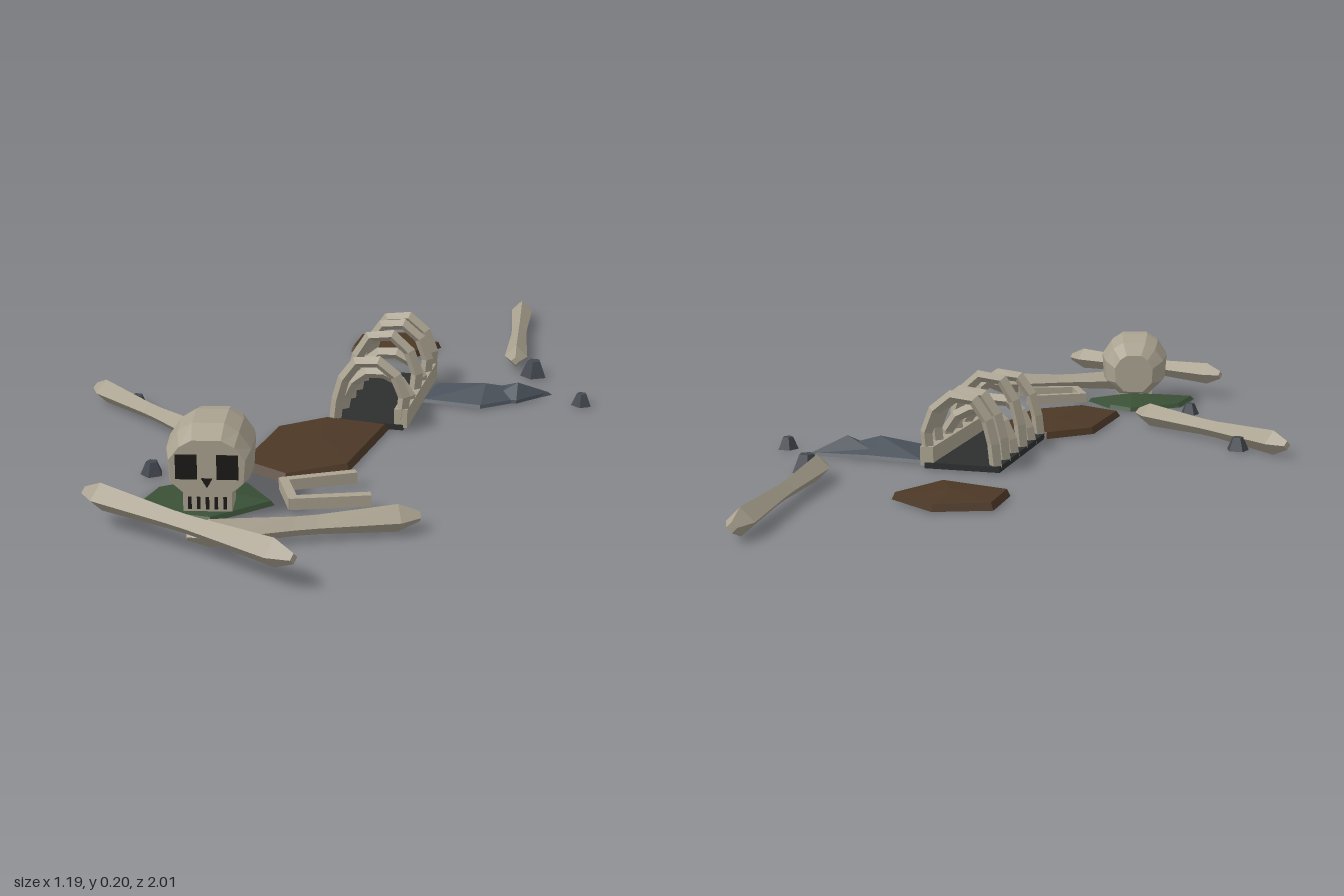
import * as THREE from 'three';

const flat = (hex, name) => {
  const m = new THREE.MeshStandardMaterial({ color: hex, flatShading: true, side: THREE.DoubleSide });
  m.name = name;
  return m;
};
const mat = {
  bone: flat(0xaaa290, 'bone'),
  brown: flat(0x4c3826, 'brown cloth'),
  charcoal: flat(0x2d2e2f, 'charcoal cloth'),
  green: flat(0x3a5036, 'green cloth'),
  slate: flat(0x4b525b, 'slate cloth'),
  stone: flat(0x444850, 'stone'),
  black: flat(0x1b1a19, 'black hollow'),
};

function add(parent, name, geometry, material, x = 0, y = 0, z = 0) {
  const mesh = new THREE.Mesh(geometry, material);
  mesh.name = name;
  mesh.position.set(x, y, z);
  parent.add(mesh);
  return mesh;
}
const box = (w, h, d) => new THREE.BoxGeometry(w, h, d);

// Skin a list of equal-sized rings and close both ends with fans
function loft(rings) {
  const n = rings[0].length, pos = rings.flat(2), idx = [];
  for (let r = 0; r < rings.length - 1; r++) {
    for (let i = 0; i < n; i++) {
      const a = r * n + i, b = r * n + (i + 1) % n;
      idx.push(a, b, b + n, a, b + n, a + n);
    }
  }
  const last = (rings.length - 1) * n;
  for (let i = 1; i < n - 1; i++) {
    idx.push(0, i + 1, i, last, last + i, last + i + 1);
  }
  const g = new THREE.BufferGeometry();
  g.setAttribute('position', new THREE.Float32BufferAttribute(pos, 3));
  g.setIndex(idx);
  g.computeVertexNormals();
  return g;
}

// Flat scrap of cloth: outline (x, z), thin rim and a raised middle point
function cloth(outline, edgeY, [cx, cy, cz]) {
  const area = outline.reduce((s, [x, z], i) => {
    const [x2, z2] = outline[(i + 1) % outline.length];
    return s + x * z2 - x2 * z;
  }, 0);
  const pts = area > 0 ? [...outline].reverse() : outline;
  return loft([
    pts.map(([x, z]) => [x, 0.012, z]),
    pts.map(([x, z]) => [x + (cx - x) * 0.06, edgeY, z + (cz - z) * 0.06]),
    pts.map(() => [cx, cy, cz]),
  ]);
}

// Long four-sided bone with swollen ends, laid from one point to another
function longBone(parent, [ax, az], [bx, bz], y) {
  const half = Math.hypot(bx - ax, bz - az) / 2;
  const profile = [[0, -half], [0.011, -half], [0.03, -half + 0.045], [0.021, -half * 0.1],
    [0.021, half * 0.1], [0.03, half - 0.045], [0.011, half], [0, half]];
  const g = new THREE.LatheGeometry(profile.map(p => new THREE.Vector2(...p)), 4);
  g.rotateX(Math.PI / 2);
  add(parent, 'longBone', g, mat.bone, (ax + bx) / 2, y, (az + bz) / 2)
    .rotation.y = Math.atan2(bx - ax, bz - az);
}

function buildSkull() {
  const skull = new THREE.Group();
  skull.name = 'skull';
  // Half outline of the cranium: share of width, share of height
  const half = [[0.5, 0], [0.95, 0.25], [1, 0.65], [0.72, 0.88], [0.38, 1]];
  const outline = [...half, ...half.map(([x, y]) => [-x, y]).reverse()];
  const sections = [
    // z, half width, bottom, top
    [-0.11, 0.052, 0.065, 0.165], [-0.075, 0.08, 0.055, 0.196], [-0.01, 0.09, 0.05, 0.212],
    [0.065, 0.087, 0.05, 0.208], [0.103, 0.078, 0.062, 0.183],
  ];
  add(skull, 'cranium', loft(sections.map(([z, w, lo, hi]) =>
    outline.map(([x, y]) => [x * w, lo + y * (hi - lo), z]))), mat.bone);
  add(skull, 'upperJaw', box(0.1, 0.055, 0.07), mat.bone, 0, 0.058, 0.068);
  for (const s of [-1, 1]) {
    add(skull, 'eyeSocket', box(0.044, 0.052, 0.008), mat.black, s * 0.042, 0.127, 0.103);
  }
  const nose = add(skull, 'noseHole', new THREE.CylinderGeometry(0.013, 0.013, 0.008, 3), mat.black, 0, 0.096, 0.104);
  nose.rotation.x = Math.PI / 2;
  for (let i = -2; i <= 2; i++) {
    add(skull, 'toothGap', box(0.007, 0.026, 0.006), mat.black, i * 0.018, 0.049, 0.103);
  }
  skull.position.set(-0.04, 0, 0.643);
  skull.rotation.y = 0.3;
  return skull;
}

function buildTorso() {
  const torso = new THREE.Group();
  torso.name = 'torso';
  add(torso, 'torsoCloth', box(0.182, 0.014, 0.4), mat.charcoal, 0, 0.019, 0);
  add(torso, 'spine', box(0.032, 0.045, 0.4), mat.bone, 0.085, 0.041, 0);
  // Ribs arch from the spine to the far edge; two are lower
  const arch = [[0.085, 0.2], [0.09, 0.5], [0.05, 0.88], [-0.015, 0.94], [-0.062, 0.62], [-0.078, 0.1]];
  const ribs = [[-0.185, 0.195], [-0.115, 0.195], [-0.04, 0.135], [0.03, 0.208], [0.11, 0.13], [0.186, 0.185]];
  for (const [z, h] of ribs) {
    const path = new THREE.CatmullRomCurve3(arch.map(([x, y]) => new THREE.Vector3(x, y * h, z)));
    add(torso, 'rib', new THREE.TubeGeometry(path, 7, 0.015, 4), mat.bone);
  }
  torso.position.set(0.092, 0, -0.095);
  torso.rotation.y = 0.105;
  return torso;
}

export function createModel() {
  const model = new THREE.Group();
  model.name = 'scatteredSkeleton';

  model.add(buildSkull(), buildTorso());

  // Loose limb bones
  longBone(model, [0.235, -1], [0.345, -0.45], 0.04);
  longBone(model, [-0.595, 0.12], [-0.135, 0.39], 0.04);
  longBone(model, [0.01, 0.885], [0.41, 0.64], 0.04);
  longBone(model, [-0.24, 0.83], [0.275, 0.99], 0.076);

  // Detached U-shaped lower jaw
  const jaw = [[0.21, 0.47], [0.085, 0.56], [0.14, 0.65], [0.28, 0.58]];
  for (let i = 0; i < 3; i++) {
    const [ax, az] = jaw[i], [bx, bz] = jaw[i + 1];
    add(model, 'lowerJaw', box(0.02, 0.025, Math.hypot(bx - ax, bz - az) + 0.012), mat.bone,
      (ax + bx) / 2, 0.035, (az + bz) / 2).rotation.y = Math.atan2(bx - ax, bz - az);
  }

  // Cloth scraps
  add(model, 'hipCloth', cloth([[0.015, 0.1], [0.17, 0.1], [0.172, 0.39], [0.06, 0.5],
    [-0.062, 0.455], [-0.075, 0.205]], 0.028, [0.05, 0.036, 0.24]), mat.brown);
  add(model, 'footCloth', cloth([[-0.025, -0.657], [0.1, -0.592], [0.048, -0.445],
    [-0.125, -0.472], [-0.14, -0.6]], 0.028, [-0.02, 0.036, -0.55]), mat.brown);
  add(model, 'headCloth', cloth([[-0.18, 0.635], [-0.07, 0.52], [0.0, 0.545], [0.09, 0.625],
    [0.0, 0.755], [-0.18, 0.77]], 0.022, [-0.03, 0.04, 0.65]), mat.green);
  add(model, 'crumpledCloth', cloth([[0.18, -0.265], [0.33, -0.265], [0.48, -0.288], [0.41, -0.2],
    [0.335, -0.12], [0.185, -0.12]], 0.02, [0.33, 0.055, -0.195]), mat.slate);
  add(model, 'clothFold', cloth([[0.3, -0.25], [0.475, -0.287], [0.41, -0.19],
    [0.34, -0.18]], 0.02, [0.405, 0.056, -0.225]), mat.slate);

  // Stones
  const stones = [[0.4, -0.43, 0.036], [0.565, -0.235, 0.026], [-0.465, 0.155, 0.028], [-0.23, 0.55, 0.026]];
  stones.forEach(([x, z, r], i) => {
    const stone = add(model, 'stone', new THREE.CylinderGeometry(r * 0.5, r, r * 1.15, 5), mat.stone,
      x, 0.012 + r * 0.575, z);
    stone.rotation.y = i * 1.3;
  });

  return model;
}
